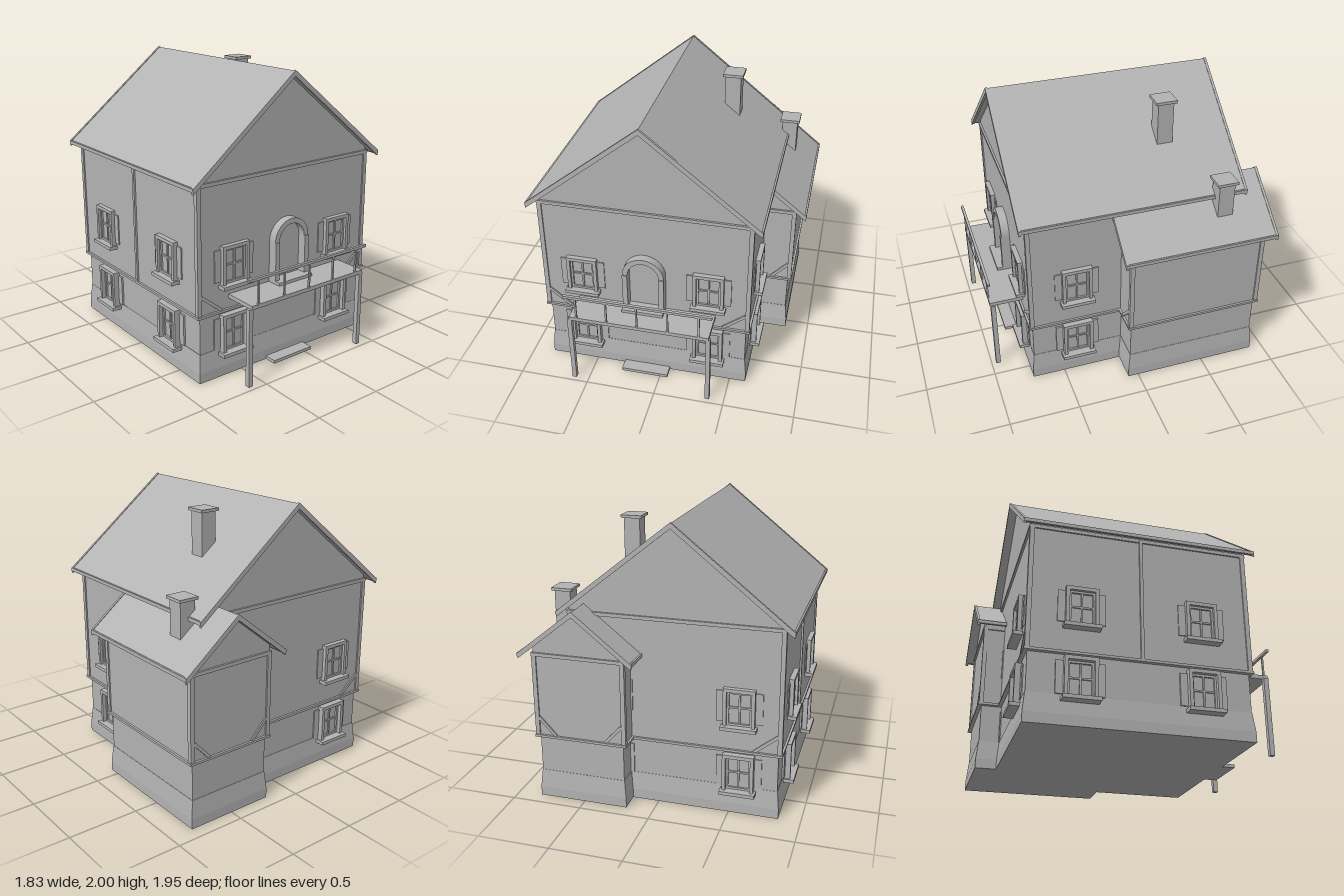
import * as THREE from 'three';

export function createModel() {
  const model = new THREE.Group();
  const grey = new THREE.MeshStandardMaterial({ color: 0xb3b3b3 });
  grey.name = 'plain grey';

  const add = (parent, name, geometry) => {
    const mesh = new THREE.Mesh(geometry, grey);
    mesh.name = name;
    parent.add(mesh);
    return mesh;
  };
  const group = (parent, name) => {
    const g = new THREE.Group();
    g.name = name;
    parent.add(g);
    return g;
  };
  // Box given by its limits on each axis
  const box = (parent, name, x0, x1, y0, y1, z0, z1) => {
    const mesh = add(parent, name, new THREE.BoxGeometry(x1 - x0, y1 - y0, z1 - z0));
    mesh.position.set((x0 + x1) / 2, (y0 + y1) / 2, (z0 + z1) / 2);
    return mesh;
  };
  const polygon = (points) => new THREE.Shape(points.map(([x, y]) => new THREE.Vector2(x, y)));
  const extrude = (parent, name, shape, z0, z1) => {
    const mesh = add(parent, name, new THREE.ExtrudeGeometry(shape, { depth: z1 - z0, bevelEnabled: false, curveSegments: 16 }));
    mesh.position.z = z0;
    return mesh;
  };

  const SLOPE = 0.8;
  const chevron = (half, top, thick) => {
    const drop = half * SLOPE;
    return polygon([[-half, top - drop - thick], [0, top - thick], [half, top - drop - thick],
      [half, top - drop], [0, top], [-half, top - drop]]);
  };

  // One wing: plinth, lower wall, timbered upper wall with gables, and roof
  function wing(name, { x, z, hw, hd, eave, ridge, roofHalf, roofDepth, brace }) {
    const g = group(model, name);
    g.position.set(x, 0, z);
    const lw = hw - 0.025, ld = hd - 0.02;

    box(g, 'lowerWall', -lw, lw, 0, 0.48, -ld, ld);
    box(g, 'plinth', -lw - 0.015, lw + 0.015, 0, 0.07, -ld - 0.015, ld + 0.015);
    const taper = box(g, 'plinthTaper', -lw - 0.015, lw + 0.015, 0.07, 0.2, -ld - 0.015, ld + 0.015);
    const p = taper.geometry.attributes.position;
    for (let i = 0; i < p.count; i++) {
      if (p.getY(i) > 0) {
        p.setX(i, Math.sign(p.getX(i)) * (lw + 0.002));
        p.setZ(i, Math.sign(p.getZ(i)) * (ld + 0.002));
      }
    }
    taper.geometry.computeVertexNormals();

    const w = hw - 0.01, d = hd - 0.01;
    const shoulder = ridge - 0.02 - w * SLOPE;
    extrude(g, 'upperWall', polygon([[-w, 0.47], [w, 0.47], [w, shoulder], [0, ridge - 0.02], [-w, shoulder]]), -d, d);

    // Timber bands, corner posts and braces
    box(g, 'floorBand', -hw - 0.005, hw + 0.005, 0.463, 0.48, -hd - 0.006, hd + 0.006);
    box(g, 'eaveBand', -hw, hw, eave - 0.025, eave, -hd - 0.004, hd + 0.004);
    for (const sx of [-1, 1]) {
      for (const sz of [-1, 1]) {
        const post = box(g, 'cornerPost', -0.0155, 0.0155, 0.47, eave - 0.01, -0.0155, 0.0155);
        post.position.x = sx * (hw - 0.0155);
        post.position.z = sz * (hd - 0.0155);
        const len = Math.hypot(brace, 0.13);
        const strut = add(g, 'cornerBrace', new THREE.BoxGeometry(len, 0.022, 0.018));
        strut.position.set(sx * (hw - 0.03 - brace / 2), 0.545, sz * (hd - 0.009));
        strut.rotation.z = sx * Math.atan2(0.13, brace);
      }
    }

    // Roof, verge boards and eave boards
    extrude(g, 'roof', chevron(roofHalf - 0.008, ridge - 0.005, 0.03), -roofDepth, roofDepth);
    for (const s of [-1, 1]) {
      const e = s * (roofDepth - 0.008);
      extrude(g, 'vergeBoard', chevron(roofHalf, ridge, 0.04), e - 0.009, e + 0.009);
      const y = ridge - roofHalf * SLOPE;
      const board = box(g, 'eaveBoard', -0.01, 0.01, y - 0.025, y, -roofDepth, roofDepth);
      board.position.x = s * (roofHalf - 0.006);
    }
    return g;
  }

  wing('mainHouse', { x: -0.115, z: -0.0125, hw: 0.742, hd: 0.7525, eave: 1.36, ridge: 2, roofHalf: 0.8, roofDepth: 0.803, brace: 0.16 });
  wing('sideWing', { x: 0.51, z: -0.415, hw: 0.33, hd: 0.495, eave: 1.085, ridge: 1.415, roofHalf: 0.4, roofDepth: 0.553, brace: 0.12 });
  box(model, 'sideWallPost', -0.86, -0.84, 0.47, 1.35, -0.022, 0.0);

  // Window with frame, glazing bars, sill and flat shutters; faces local +z
  function houseWindow(x, z, turn, lower) {
    const g = group(model, lower ? 'lowerWindow' : 'upperWindow');
    g.position.set(x, lower ? 0.18 : 0.66, z);
    g.rotation.y = turn;
    const wall = lower ? -0.02 : -0.01;
    const frame = polygon([[-0.108, 0], [0.108, 0], [0.108, 0.265], [-0.108, 0.265]]);
    frame.holes.push(polygon([[-0.084, 0], [-0.084, 0.24], [0.084, 0.24], [0.084, 0]]));
    extrude(g, 'windowFrame', frame, wall - 0.01, 0.025);
    const sash = polygon([[-0.084, 0], [0.084, 0], [0.084, 0.24], [-0.084, 0.24]]);
    sash.holes.push(polygon([[-0.07, 0.015], [-0.07, 0.225], [0.07, 0.225], [0.07, 0.015]]));
    extrude(g, 'sash', sash, wall - 0.01, wall + 0.016);
    box(g, 'glass', -0.08, 0.08, 0, 0.24, wall - 0.005, wall + 0.003);
    box(g, 'verticalBar', -0.006, 0.006, 0.01, 0.23, wall, wall + 0.012);
    box(g, 'crossBar', -0.075, 0.075, 0.122, 0.134, wall, wall + 0.012);
    box(g, 'sill', -0.122, 0.122, -0.025, 0, wall - 0.01, 0.052);
    for (const s of [-1, 1]) {
      box(g, 'shutter', Math.min(s * 0.1, s * 0.157), Math.max(s * 0.1, s * 0.157), 0.02, 0.24, wall - 0.005, wall + 0.008);
    }
  }
  for (const lower of [false, true]) {
    for (const x of [-0.565, 0.335]) {
      houseWindow(x, 0.74, 0, lower);
      houseWindow(x, -0.765, Math.PI, lower);
    }
    for (const z of [-0.41, 0.395]) houseWindow(-0.857, z, -Math.PI / 2, lower);
    houseWindow(0.627, 0.395, Math.PI / 2, lower);
  }

  // Arched balcony door
  const door = group(model, 'balconyDoor');
  door.position.set(-0.115, 0, 0);
  const arch = new THREE.Shape();
  arch.absarc(0, 0.865, 0.147, 0, Math.PI, false);
  arch.absarc(0, 0.865, 0.11, Math.PI, 0, true);
  extrude(door, 'doorArch', arch, 0.72, 0.79);
  for (const s of [-1, 1]) {
    const jamb = box(door, 'doorJamb', -0.018, 0.018, 0.59, 0.865, 0.72, 0.797);
    jamb.position.x = s * 0.129;
  }
  const leaf = polygon([[-0.11, 0.59], [0.11, 0.59]]);
  leaf.absarc(0, 0.865, 0.11, 0, Math.PI, false);
  extrude(door, 'doorLeaf', leaf, 0.725, 0.735);
  box(door, 'doorThreshold', -0.147, 0.147, 0.575, 0.597, 0.72, 0.84);
  box(model, 'frontStep', -0.285, 0.055, 0, 0.023, 0.7, 0.825);

  // Balcony
  const balcony = group(model, 'balcony');
  box(balcony, 'balconyFloor', -0.605, 0.385, 0.547, 0.575, 0.72, 0.972);
  for (const x of [-0.606, 0.38]) box(balcony, 'balconyPost', x - 0.016, x + 0.016, 0, 0.55, 0.933, 0.967);
  box(balcony, 'handrail', -0.635, 0.407, 0.743, 0.762, 0.96, 0.98);
  for (let i = 0; i < 5; i++) {
    const x = -0.55 + i * 0.2165;
    box(balcony, 'baluster', x - 0.006, x + 0.006, 0.57, 0.75, 0.963, 0.975);
  }

  // Chimneys
  for (const [x, z, bottom, top] of [[0.29, -0.33, 1.55, 1.945], [0.69, -0.63, 1.15, 1.485]]) {
    const g = group(model, 'chimney');
    box(g, 'chimneyShaft', x - 0.056, x + 0.056, bottom, top - 0.01, z - 0.056, z + 0.056);
    box(g, 'chimneyCap', x - 0.072, x + 0.072, top - 0.02, top, z - 0.074, z + 0.074);
  }

  return model;
}
